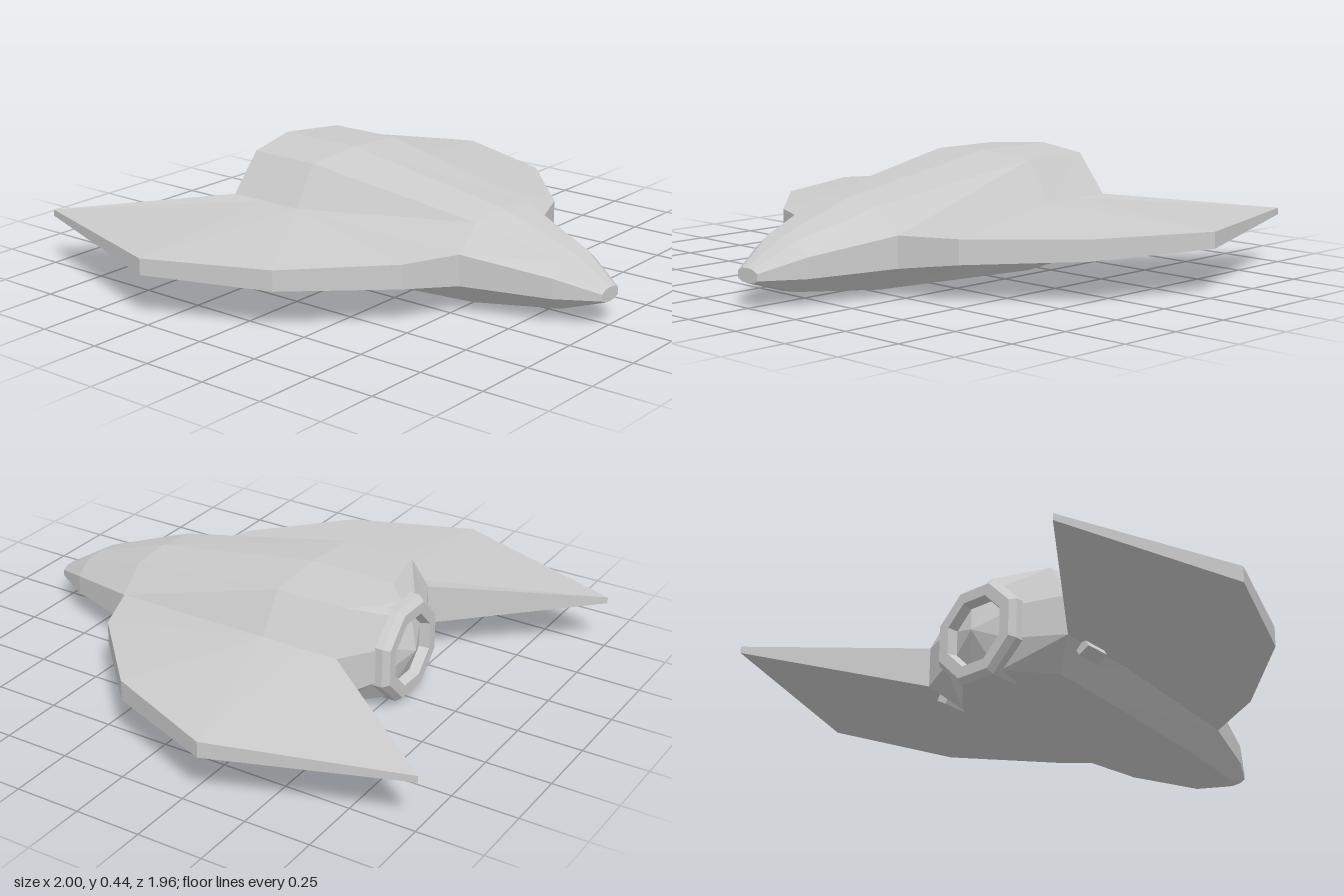
import * as THREE from 'three';

const material = new THREE.MeshStandardMaterial({ color: 0xcccccc, flatShading: true, side: THREE.DoubleSide });

// Turns a list of triangles (each three [x, y, z] corners) into a named mesh
function facets(name, tris) {
  const g = new THREE.BufferGeometry();
  g.setAttribute('position', new THREE.Float32BufferAttribute(tris.flat(2), 3));
  g.computeVertexNormals();
  const mesh = new THREE.Mesh(g, material);
  mesh.name = name;
  return mesh;
}

// Reflects triangles across the centre plane, keeping them facing outward
const mirrorZ = (tris) => tris.map(([a, b, c]) => [a, c, b].map(([x, y, z]) => [x, y, -z]));

// Completes a half section (top centre down to bottom centre) to a closed ring
function ring(half) {
  const other = half.slice(1, -1).reverse().map(([x, y, z]) => [x, y, -z]);
  return [...half, ...other];
}

// Faceted hull lofted from tail to nose
function createHull() {
  const rings = [
    [[-0.52, 0.385, 0], [-0.52, 0.37, 0.09], [-0.52, 0.27, 0.18], [-0.52, 0.14, 0.18], [-0.52, 0.04, 0.09], [-0.52, 0.03, 0]],
    [[-0.475, 0.45, 0], [-0.425, 0.435, 0.235], [-0.445, 0.285, 0.335], [-0.445, 0.13, 0.335], [-0.37, 0.035, 0.235], [-0.38, 0.025, 0]],
    [[-0.14, 0.45, 0], [-0.14, 0.435, 0.24], [-0.14, 0.285, 0.335], [-0.14, 0.12, 0.335], [-0.14, 0.018, 0.24], [-0.14, 0.005, 0]],
    [[0.54, 0.34, 0], [0.54, 0.325, 0.16], [0.54, 0.232, 0.255], [0.54, 0.115, 0.255], [0.54, 0.028, 0.16], [0.54, 0.018, 0]],
    [[0.85, 0.235, 0], [0.85, 0.228, 0.08], [0.85, 0.18, 0.14], [0.85, 0.105, 0.14], [0.85, 0.052, 0.08], [0.85, 0.045, 0]],
    [[1, 0.145, 0], [1, 0.142, 0.03], [1, 0.13, 0.052], [1, 0.105, 0.052], [1, 0.095, 0.03], [1, 0.092, 0]],
  ].map(ring);
  const tris = [];
  const n = rings[0].length;
  const tail = [-0.52, 0.205, 0], nose = [1, 0.118, 0];
  const last = rings.length - 1;
  for (let i = 0; i < n; i++) {
    const j = (i + 1) % n;
    for (let s = 0; s < last; s++) {
      const a = rings[s], b = rings[s + 1];
      tris.push([a[i], a[j], b[i]], [a[j], b[j], b[i]]);
    }
    tris.push([tail, rings[0][j], rings[0][i]], [nose, rings[last][i], rings[last][j]]);
  }
  return facets('hull', tris);
}

// Swept wing: outline points as [x, z, top y, bottom y]
function wingTriangles() {
  const p = [
    [-0.445, 0.335, 0.285, 0.13], // trailing root
    [-1, 0.745, 0.215, 0.19], // swept-back tip
    [-0.3, 0.98, 0.233, 0.172],
    [0.15, 0.795, 0.237, 0.16],
    [0.455, 0.47, 0.235, 0.145],
    [0.54, 0.255, 0.232, 0.115], // leading root
    [-0.14, 0.334, 0.285, 0.12], // middle of root
    [-0.3, 0.334, 0.285, 0.125],
  ];
  const top = p.map(([x, z, t]) => [x, t, z]);
  const low = p.map(([x, z, , b]) => [x, b, z]);
  const tris = [];
  for (const [a, b, c] of [[7, 0, 1], [7, 1, 2], [7, 2, 6], [6, 2, 3], [6, 3, 4], [6, 4, 5]]) {
    tris.push([top[a], top[b], top[c]], [low[a], low[c], low[b]]);
  }
  for (let i = 0; i < 5; i++) {
    tris.push([top[i], low[i], top[i + 1]], [low[i], low[i + 1], top[i + 1]]);
  }
  return tris;
}

// Eight-sided engine nozzle with a recessed, slightly domed core
function createEngine() {
  const profile = [[0.2, 0.43], [0.2, 0.51], [0.2, 0.545], [0.18, 0.568], [0.135, 0.568], [0.125, 0.53], [0, 0.58]];
  const g = new THREE.LatheGeometry(profile.map(([r, h]) => new THREE.Vector2(r, h)), 8, Math.PI / 8);
  g.rotateZ(Math.PI / 2);
  const mesh = new THREE.Mesh(g, material);
  mesh.name = 'engineNozzle';
  mesh.position.y = 0.205;
  return mesh;
}

export function createModel() {
  const model = new THREE.Group();
  model.name = 'spaceship';
  model.add(createHull(), createEngine());

  const wing = wingTriangles();
  model.add(facets('leftSideWing', wing), facets('rightSideWing', mirrorZ(wing)));

  // Small vents under the trailing wing roots
  for (const side of [1, -1]) {
    const vent = new THREE.Mesh(new THREE.BoxGeometry(0.1, 0.035, 0.05), material);
    vent.name = 'vent';
    vent.position.set(-0.32, 0.11, side * 0.335);
    vent.rotation.x = side * -0.5;
    model.add(vent);
  }
  return model;
}
